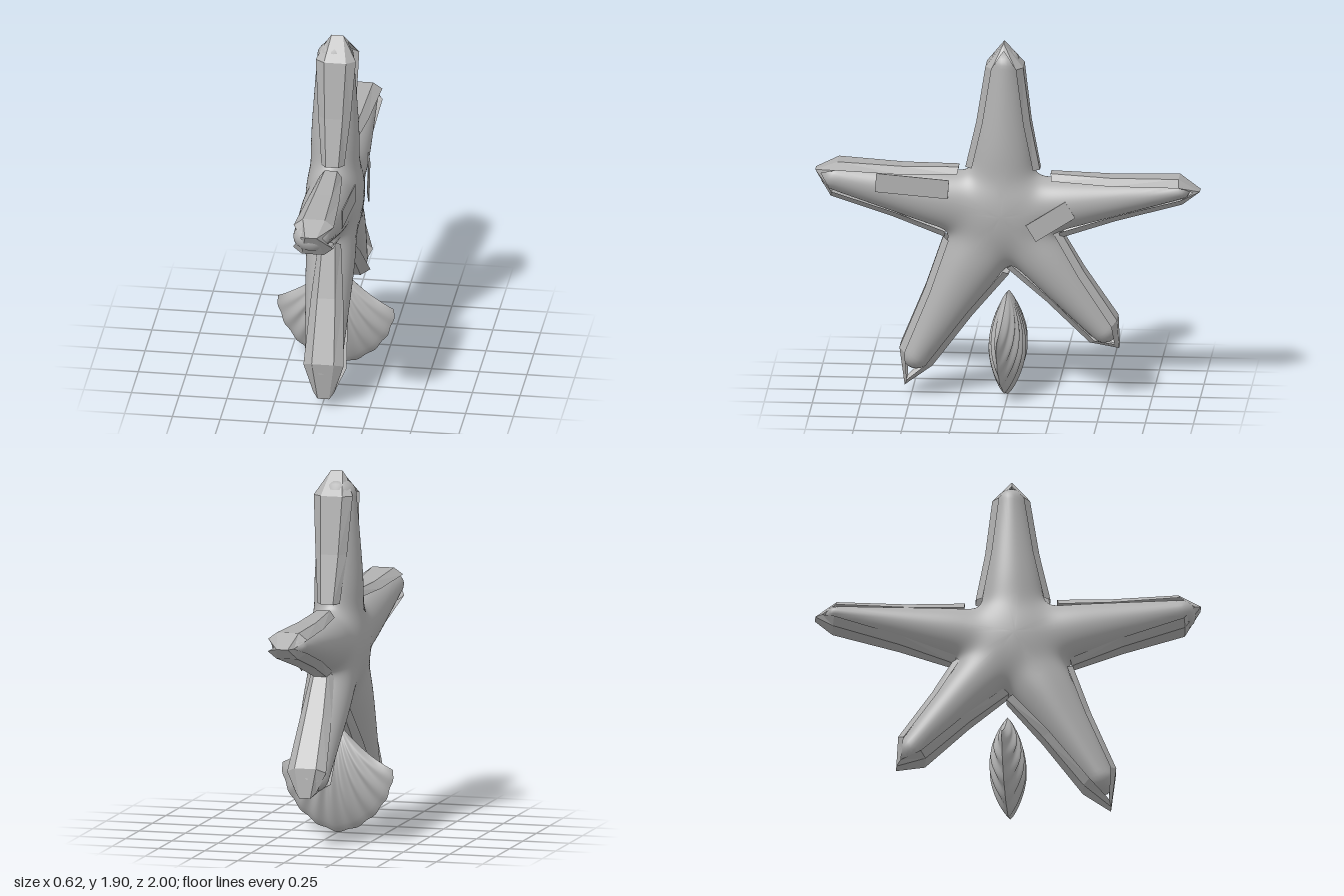
import * as THREE from 'three';
import { mergeVertices } from 'three/addons/utils/BufferGeometryUtils.js';

const CZ = 0.03, CY = 0.99; // body centre
// Arm axes in the z, y plane: tip centre, strip peak, root and tip half-widths
const ARMS = {
  top: { tip: [0.015, 1.78], peak: [0.02, 1.9], w0: 0.2, w1: 0.08 },
  front: { tip: [0.9, 1.16], peak: [1, 1.2], w0: 0.2, w1: 0.075 },
  back: { tip: [-0.9, 1.125], peak: [-1, 1.12], w0: 0.185, w1: 0.05 },
  frontLower: { tip: [0.475, 0.21], peak: [0.535, 0.05], w0: 0.205, w1: 0.08 },
  backLower: { tip: [-0.5, 0.365], peak: [-0.58, 0.27], w0: 0.175, w1: 0.075 },
};

// Grid surface from a function of two parameters in 0..1
function grid(rows, cols, f) {
  const pos = [], index = [];
  for (let j = 0; j <= rows; j++) {
    for (let i = 0; i <= cols; i++) pos.push(...f(j / rows, i / cols));
  }
  for (let j = 0; j < rows; j++) {
    for (let i = 0; i < cols; i++) {
      const a = j * (cols + 1) + i, c = a + cols + 1;
      index.push(a, a + 1, c, a + 1, c + 1, c);
    }
  }
  const g = new THREE.BufferGeometry();
  g.setAttribute('position', new THREE.Float32BufferAttribute(pos, 3));
  g.setIndex(index);
  return g;
}

// Nearest point on an arm's axis
function onAxis({ tip }, z, y) {
  const az = tip[0] - CZ, ay = tip[1] - CY;
  const h = THREE.MathUtils.clamp(((z - CZ) * az + (y - CY) * ay) / (az * az + ay * ay), 0, 1);
  return { h, z: CZ + az * h, y: CY + ay * h };
}

// Squared half-thickness: rounded arms blended with smooth webs
function thicknessSq(z, y) {
  const k = 150;
  let sum = 0;
  for (const arm of Object.values(ARMS)) {
    const p = onAxis(arm, z, y);
    const d = Math.hypot(z - p.z, y - p.y);
    const w = THREE.MathUtils.lerp(arm.w0, arm.w1, p.h);
    const t = 0.15 - 0.055 * p.h;
    sum += Math.exp(k * t * t * (1 - (d / w) ** 2));
  }
  const r = Math.hypot(z - CZ, y - CY);
  return Math.log(sum) / k - (Math.log(5) / k) * Math.exp(-((r / 0.2) ** 2));
}

// Body: rays from the centre out to the outline, domed on both sides
function starGeometry() {
  const n = 300, outline = [];
  for (let i = 0; i < n; i++) {
    const a = (i / n) * Math.PI * 2;
    const inside = (r) => thicknessSq(CZ + r * Math.cos(a), CY + r * Math.sin(a)) > 0;
    let hi = 0.1;
    while (inside(hi)) hi += 0.01;
    let lo = hi - 0.01;
    for (let s = 0; s < 20; s++) {
      const m = (lo + hi) / 2;
      if (inside(m)) lo = m; else hi = m;
    }
    outline.push(hi);
  }
  const g = mergeVertices(grid(56, n, (v, u) => {
    const i = Math.round(u * n) % n, a = (i / n) * Math.PI * 2;
    const r = outline[i] * Math.sin(v * Math.PI);
    const z = CZ + r * Math.cos(a), y = CY + r * Math.sin(a);
    const x = v === 0.5 ? 0 : Math.sqrt(Math.max(0, thicknessSq(z, y)));
    return [v < 0.5 ? x : -x, y, z];
  }), 1e-5);
  g.computeVertexNormals();
  return g;
}

// Half of the scallop: a ribbed fan hanging from its hinge
function shellGeometry(side) {
  const g = grid(28, 108, (s, t) => {
    const u = -side * (2 * t - 1), phi = u * (0.8 + 0.2 * s);
    const rib = Math.cos(u * Math.PI * 9);
    const r = s * (0.545 - 0.17 * Math.abs(u) ** 1.35 + 0.004 * rib * s);
    const swell = Math.sin(Math.PI * s) ** 0.75 * Math.max(0, 1 - u * u) ** 0.8;
    const z = swell * (0.085 + 0.012 * rib * Math.min(1, s * 1.6));
    return [0.025 * u * (1 - s) + r * Math.sin(phi), 0.555 - r * Math.cos(phi) - 0.006 * s, side * z];
  });
  g.computeVertexNormals();
  return g;
}

// Folded strip along one edge of an arm, ending at its peak
function stripGeometry(arm, side) {
  const az = arm.tip[0] - CZ, ay = arm.tip[1] - CY, len = Math.hypot(az, ay);
  const g = grid(3, 3, (v, u) => {
    const row = Math.round(v * 3), col = Math.round(u * 3);
    const h = [0.3, 0.62, 1, 1][row];
    const off = side * (THREE.MathUtils.lerp(arm.w0, arm.w1, h) + [0.03, 0.015, 0.018, 0][row]);
    const [z, y] = row === 3 ? arm.peak : [CZ + az * h - (ay / len) * off, CY + ay * h + (az / len) * off];
    const p = onAxis(arm, z, y);
    const d = Math.hypot(p.z - z, p.y - y);
    const fold = col === 0 || col === 3 ? 0.035 : 0;
    const x = 0.01 + [-1, -0.55, 0.55, 1][col] * [0.06, 0.085, 0.105, 0.055][row];
    return [x, y + ((p.y - y) / d) * fold, z + ((p.z - z) / d) * fold];
  }).toNonIndexed();
  g.computeVertexNormals();
  return g;
}

export function createModel() {
  const group = new THREE.Group();
  const grey = new THREE.MeshStandardMaterial({ color: 0xb0b0b0, side: THREE.DoubleSide });
  grey.name = 'grey';
  const add = (name, geo) => {
    const m = new THREE.Mesh(geo, grey);
    m.name = name;
    group.add(m);
    return m;
  };

  add('starfishBody', starGeometry());

  // Scallop shell, turned slightly
  for (const side of [1, -1]) {
    add(side > 0 ? 'shellFront' : 'shellBack', shellGeometry(side)).rotation.y = -0.13;
  }

  // Angular strips along both edges of every arm
  for (const [name, arm] of Object.entries(ARMS)) {
    for (const side of [1, -1]) add(`${name}ArmStrip${side > 0 ? 'A' : 'B'}`, stripGeometry(arm, side));
  }

  // Thin plates resting on the body: position, size, tilt about x and y
  const plates = [
    [[0.135, 1.147, 0.49], [0.006, 0.1, 0.38], -0.07, -0.04],
    [[0.138, 0.97, -0.23], [0.006, 0.1, 0.24], 0.55, 0.1],
  ];
  plates.forEach(([p, size, rx, ry], i) => {
    const m = add(`sidePlate${i + 1}`, new THREE.BoxGeometry(...size));
    m.position.set(...p);
    m.rotation.set(rx, ry, 0);
  });
  return group;
}
